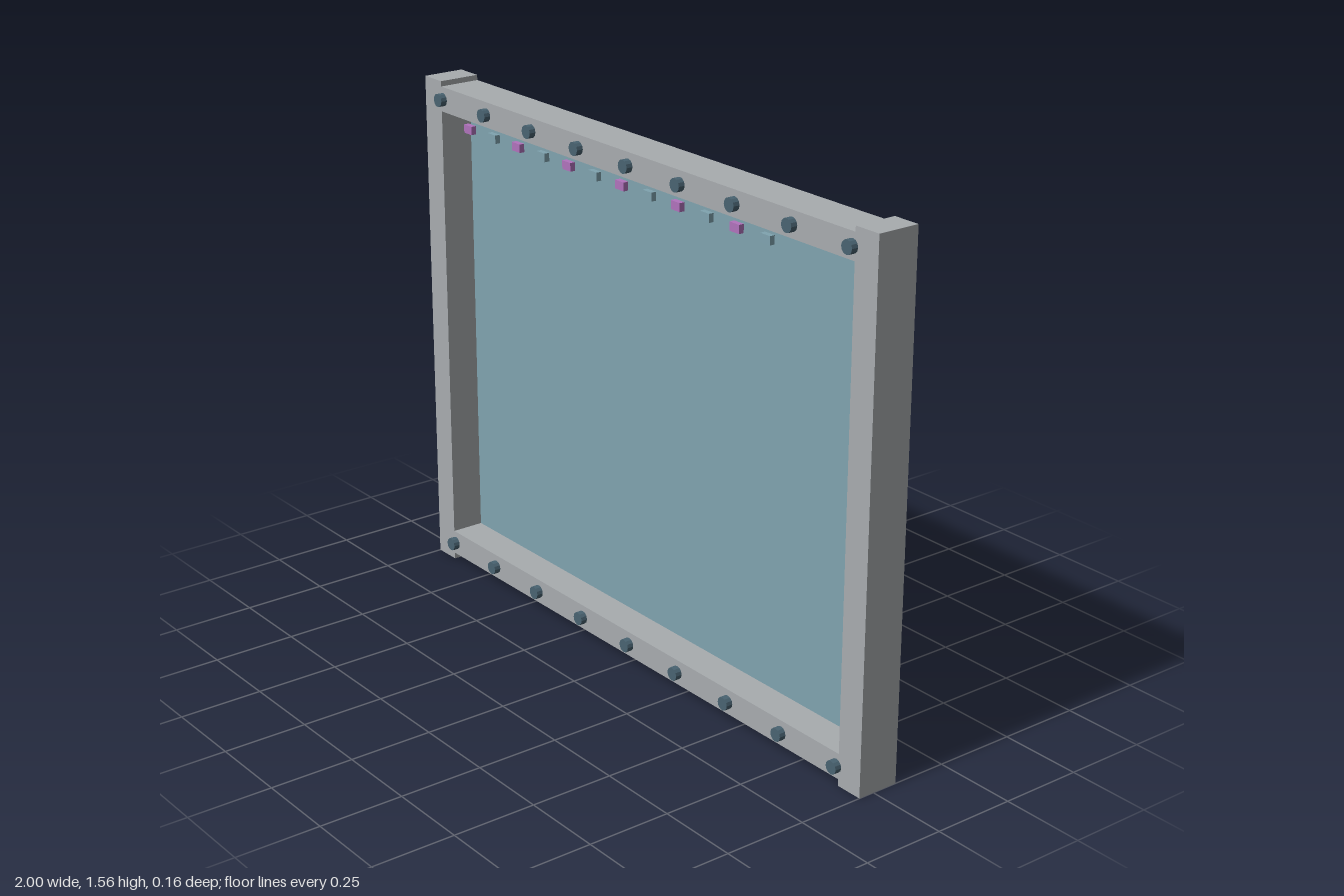
import * as THREE from 'three';

const material = (name, color) => {
  const m = new THREE.MeshStandardMaterial({ color });
  m.name = name;
  return m;
};

export function createModel() {
  const model = new THREE.Group();
  model.name = 'framedWindow';
  const frameGrey = material('frame grey', 0xa8acaf);
  const paneBlue = material('pane blue', 0x80a4b0);
  const boltSlate = material('bolt slate', 0x4a6472);
  const lightPurple = material('light purple', 0xb173bd);

  const add = (name, geometry, mat, x, y, z) => {
    const mesh = new THREE.Mesh(geometry, mat);
    mesh.name = name;
    mesh.position.set(x, y, z);
    model.add(mesh);
    return mesh;
  };

  // Frame: two tall posts with shorter rails between them
  const depth = 0.13, frameZ = -0.015;
  const post = new THREE.BoxGeometry(0.085, 1.56, depth);
  add('leftPost', post, frameGrey, 0.9575, 0.78, frameZ);
  add('rightPost', post, frameGrey, -0.9575, 0.78, frameZ);
  const rail = new THREE.BoxGeometry(1.83, 0.076, depth);
  add('bottomRail', rail, frameGrey, 0, 0.058, frameZ);
  add('topRail', rail, frameGrey, 0, 1.506, frameZ);

  // Pane, set near the back of the frame
  add('pane', new THREE.BoxGeometry(1.83, 1.372, 0.015), paneBlue, 0, 0.782, -0.06);

  // Nine bolts along each rail
  const bolt = new THREE.CylinderGeometry(0.02, 0.02, 0.02, 12).rotateX(Math.PI / 2).toNonIndexed();
  bolt.computeVertexNormals();
  for (const y of [0.058, 1.506]) {
    for (let i = -4; i <= 4; i++) add('bolt', bolt, boltSlate, i * 0.2265, y, 0.06);
  }

  // Row of small lights in alternating colours in front of the top rail's lower edge
  const light = new THREE.BoxGeometry(0.038, 0.025, 0.016);
  for (let i = 0; i < 12; i++) {
    add('light', light, i % 2 ? paneBlue : lightPurple, (i - 6) * 0.1222, 1.455, 0.072);
  }
  return model;
}
